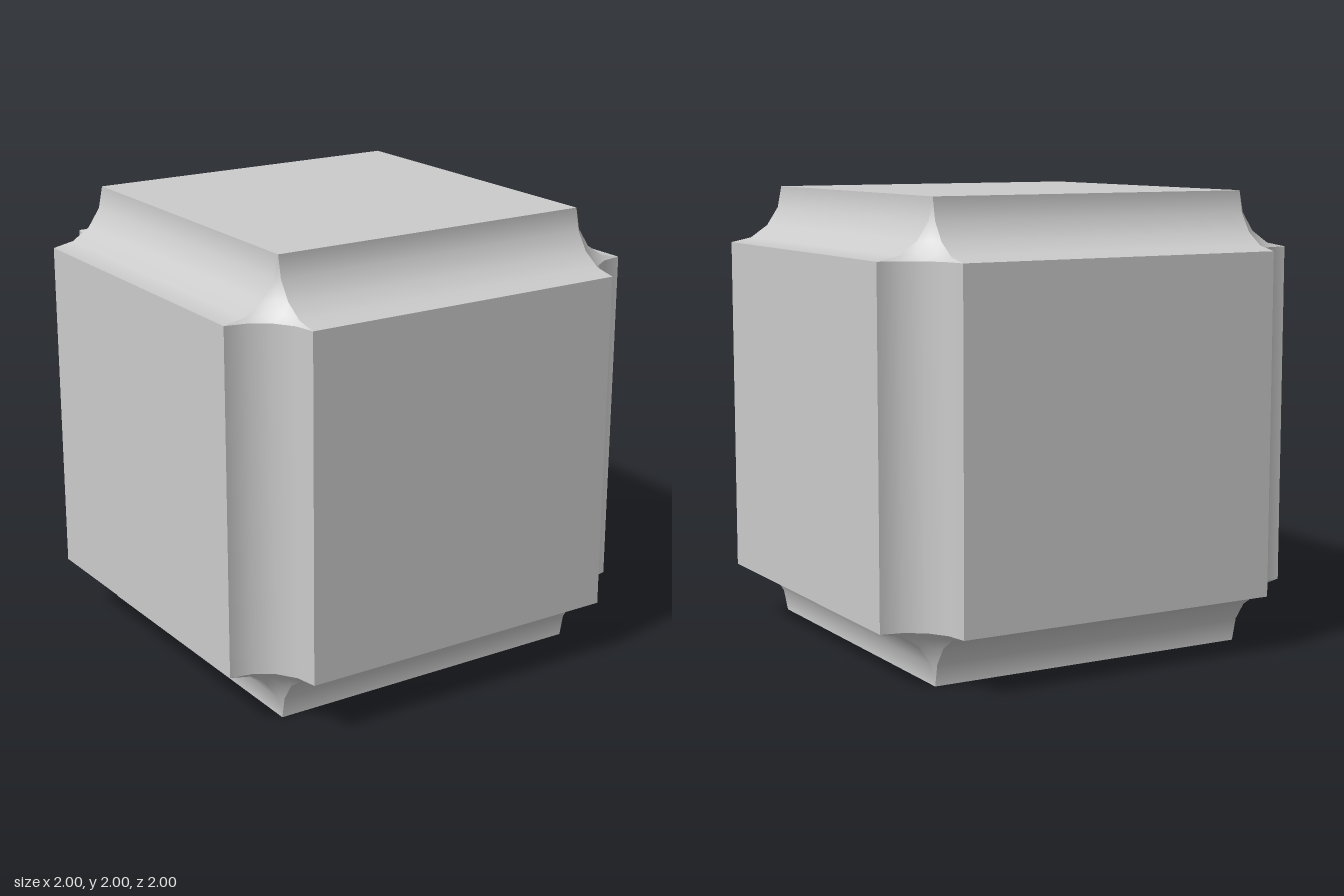
import * as THREE from 'three';
import { ParametricGeometry } from 'three/addons/geometries/ParametricGeometry.js';

const R = 0.25;        // radius of the coves
const INNER = 1 - R;   // half width of each flat face
const SEG = 4;         // facets per cove

// Concave quarter-round strip along y, at the +x +z edge
function coveGeometry() {
  return new ParametricGeometry((u, v, p) => {
    const a = u * Math.PI / 2;
    p.set(1 - R * Math.cos(a), (2 * v - 1) * INNER, 1 - R * Math.sin(a));
  }, SEG, 1);
}

// Three-sided hollow at the +x +y +z corner: part of a sphere centred on
// (1, 1, 1) that meets the ends of the three coves
function cornerGeometry() {
  const positions = [], normals = [], index = [];
  const id = (r, s) => r * (r + 1) / 2 + s;
  const c = (t) => Math.cos(t / SEG * Math.PI / 2);
  for (let r = 0; r <= SEG; r++) {
    for (let s = 0; s <= r; s++) {
      const n = new THREE.Vector3(c(SEG - r), c(r - s), c(s)).normalize();
      normals.push(...n);
      positions.push(...n.multiplyScalar(-R * Math.SQRT2).addScalar(1));
      if (r < SEG) index.push(id(r, s), id(r + 1, s), id(r + 1, s + 1));
      if (s < r && r < SEG) index.push(id(r, s), id(r + 1, s + 1), id(r, s + 1));
    }
  }
  const g = new THREE.BufferGeometry();
  g.setAttribute('position', new THREE.Float32BufferAttribute(positions, 3));
  g.setAttribute('normal', new THREE.Float32BufferAttribute(normals, 3));
  g.setIndex(index);
  return g;
}

export function createModel() {
  const model = new THREE.Group();
  model.name = 'covedCube';
  const body = new THREE.Group();
  body.name = 'body';
  body.position.y = 1;
  model.add(body);

  const material = new THREE.MeshStandardMaterial({ color: 0xcccccc });
  const face = new THREE.PlaneGeometry(2 * INNER, 2 * INNER).translate(0, 0, 1);
  const cove = coveGeometry();
  const corner = cornerGeometry();
  const Q = Math.PI / 2;

  // Turn about y first, then tilt about x and z
  const add = (name, geometry, turn, tiltX = 0, tiltZ = 0) => {
    const mesh = new THREE.Mesh(geometry, material);
    mesh.name = name;
    mesh.rotation.set(tiltX, turn, tiltZ, 'ZXY');
    body.add(mesh);
  };

  for (let k = 0; k < 4; k++) {
    add('sideFace', face, k * Q);
    // Coves along y, z and x
    add('uprightCove', cove, k * Q);
    add('depthCove', cove, k * Q, Q);
    add('widthCove', cove, k * Q, 0, Q);
    add('topCorner', corner, k * Q);
    add('bottomCorner', corner, k * Q, Math.PI);
  }
  add('topFace', face, 0, -Q);
  add('bottomFace', face, 0, Q);
  return model;
}
